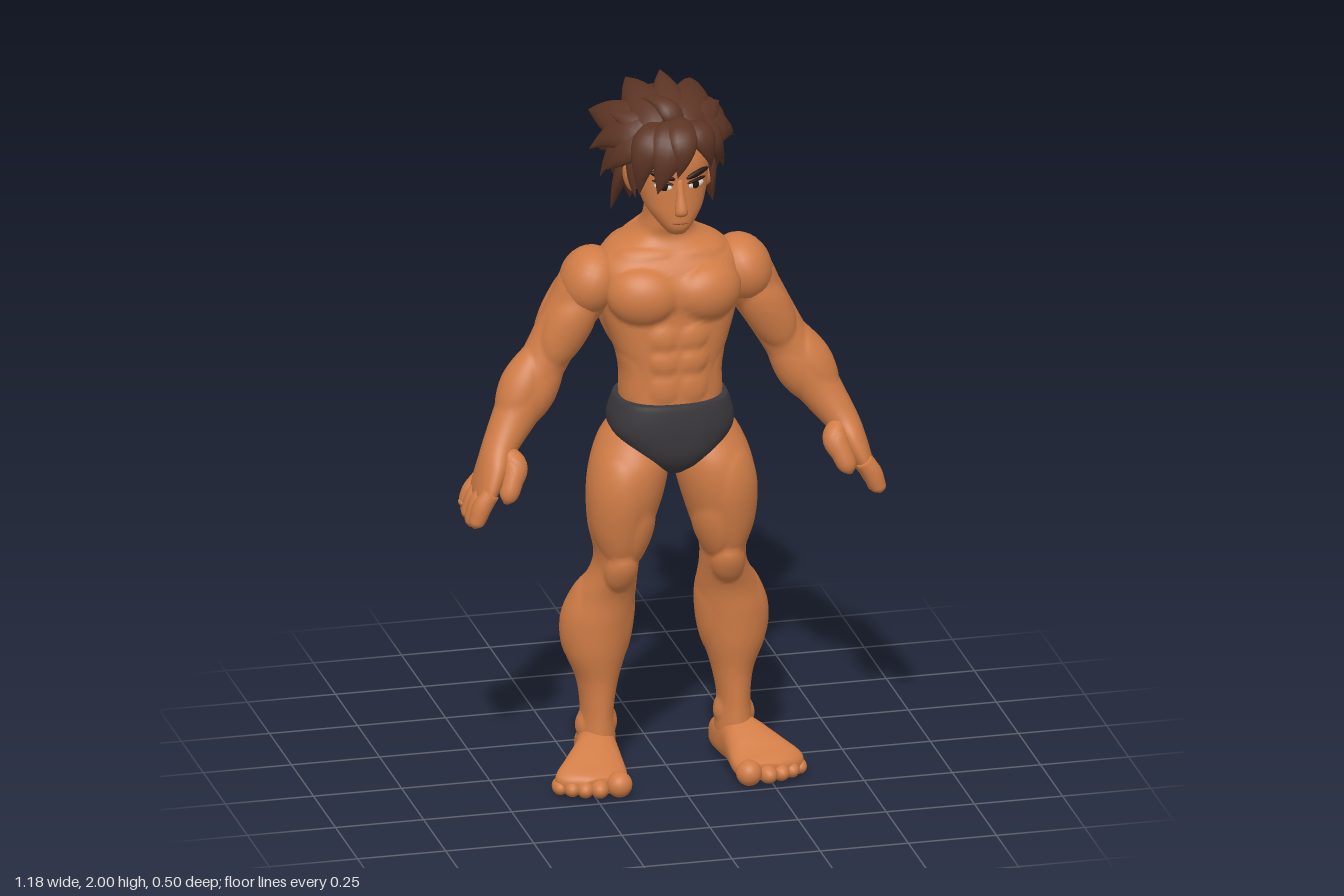
import * as THREE from 'three';

const V = (x, y, z) => new THREE.Vector3(x, y, z);
const UP = V(0, 1, 0), DOWN = V(0, -1, 0), FRONT = V(0, 0, 1);
const paint = (name, color) => { const m = new THREE.MeshStandardMaterial({ color }); m.name = name; return m; };

// Smooth skin over stations [x, y, z, radiusU, radiusV]; rings face dir, or the path when dir is null
function loft(stations, { dir = null, ref = FRONT, power = 2, segs = 28, steps = 5 } = {}) {
  const path = new THREE.CatmullRomCurve3(stations.map(s => V(s[0], s[1], s[2])), false, 'catmullrom', 0.5);
  const size = new THREE.CatmullRomCurve3(stations.map(s => V(s[3], s[4], 0)), false, 'catmullrom', 0.5);
  const rings = (stations.length - 1) * steps, pos = [], index = [];
  const bend = c => Math.sign(c) * Math.abs(c) ** (2 / power);
  for (let i = 0; i <= rings; i++) {
    const t = i / rings, p = path.getPoint(t), r = size.getPoint(t);
    const T = dir || path.getTangent(t);
    const u = V().crossVectors(T, ref).normalize(), v = V().crossVectors(u, T).normalize();
    for (let j = 0; j < segs; j++) {
      const a = j / segs * Math.PI * 2;
      const q = p.clone().addScaledVector(u, r.x * bend(Math.cos(a))).addScaledVector(v, r.y * bend(Math.sin(a)));
      pos.push(q.x, q.y, q.z);
      if (i < rings) {
        const b = i * segs + j, n = i * segs + (j + 1) % segs;
        index.push(b, b + segs, n, n, b + segs, n + segs);
      }
    }
  }
  // End caps
  const c0 = pos.length / 3, a = path.getPoint(0), b = path.getPoint(1);
  pos.push(a.x, a.y, a.z, b.x, b.y, b.z);
  for (let j = 0; j < segs; j++) {
    const n = (j + 1) % segs, o = rings * segs;
    index.push(c0, j, n, c0 + 1, o + n, o + j);
  }
  const g = new THREE.BufferGeometry();
  g.setAttribute('position', new THREE.Float32BufferAttribute(pos, 3));
  g.setIndex(index);
  g.computeVertexNormals();
  return g;
}

// Swell the skin outward at muscles [x, y, z, rx, ry, rz, height], the same on both sides of x = 0
function swell(geo, muscles) {
  const p = geo.attributes.position, n = geo.attributes.normal;
  for (let i = 0; i < p.count; i++) {
    const q = V().fromBufferAttribute(p, i);
    let h = 0;
    for (const [x, y, z, rx, ry, rz, height] of muscles) {
      const d = ((Math.abs(q.x) - x) / rx) ** 2 + ((q.y - y) / ry) ** 2 + ((q.z - z) / rz) ** 2;
      if (d < 1) h = Math.max(h, height * (1 - d) ** 0.7);
    }
    q.addScaledVector(V().fromBufferAttribute(n, i), h);
    p.setXYZ(i, q.x, q.y, q.z);
  }
  geo.computeVertexNormals();
  return geo;
}

// Upright body from rows [y, halfWidth, zFront, zBack], lowest first
const slab = (rows, power, segs = 44, steps = 5) =>
  loft(rows.map(([y, w, f, b]) => [0, y, (f + b) / 2, w, (f - b) / 2]), { dir: UP, power, segs, steps });

const blob = (x, y, z, rx, ry, rz, tiltZ = 0, turnY = 0) =>
  new THREE.SphereGeometry(1, 24, 16).scale(rx, ry, rz).rotateZ(tiltZ).rotateY(turnY).translate(x, y, z);

function mirrored(geo) {
  const g = geo.clone().scale(-1, 1, 1), ix = g.index.array;
  for (let i = 0; i < ix.length; i += 3) [ix[i], ix[i + 1]] = [ix[i + 1], ix[i]];
  return g;
}

// Pointed hair lock: base, bend, tip, width
function lock([bx, by, bz, mx, my, mz, tx, ty, tz, w]) {
  const curve = new THREE.QuadraticBezierCurve3(V(bx, by, bz), V(mx, my, mz), V(tx, ty, tz));
  const widths = [0.55, 0.95, 1, 0.8, 0.45, 0.02];
  const stations = widths.map((k, i) => { const p = curve.getPoint(i / 5); return [p.x, p.y, p.z, w * k, w * k * 0.5]; });
  return loft(stations, { ref: curve.getPoint(0.5).sub(V(0, 1.81, 0.02)).normalize(), segs: 12, steps: 3 });
}

export function createModel() {
  const model = new THREE.Group();
  const skin = paint('skin', 0xd07c46), hair = paint('hair brown', 0x5c3424), cloth = paint('charcoal cloth', 0x3a383c);
  const white = paint('eye white', 0xe8e0d8), dark = paint('dark brown', 0x24140e), lip = paint('lip', 0x9a5030);
  const add = (name, geo, mat) => { const m = new THREE.Mesh(geo, mat); m.name = name; model.add(m); };
  const pair = (name, geo, mat) => { add(name + 'Left', geo, mat); add(name + 'Right', mirrored(geo), mat); };

  // Torso and neck, with chest, belly and back muscles
  add('torso', swell(slab([
    [0.99, 0.13, 0.13, -0.07], [1.06, 0.145, 0.155, -0.08], [1.12, 0.14, 0.158, -0.068], [1.2, 0.137, 0.155, -0.074],
    [1.28, 0.163, 0.152, -0.09], [1.36, 0.188, 0.148, -0.108], [1.44, 0.2, 0.148, -0.124], [1.5, 0.197, 0.125, -0.128],
    [1.545, 0.158, 0.088, -0.118], [1.58, 0.092, 0.07, -0.095], [1.62, 0.066, 0.078, -0.07], [1.7, 0.058, 0.085, -0.05]], 2.4, 96, 8), [
    [0.1, 1.43, 0.12, 0.1, 0.078, 0.1, 0.034], [0.09, 1.538, 0.08, 0.1, 0.016, 0.05, 0.006],
    [0.042, 1.31, 0.15, 0.042, 0.037, 0.06, 0.01], [0.042, 1.24, 0.15, 0.042, 0.036, 0.06, 0.01],
    [0.042, 1.165, 0.15, 0.042, 0.042, 0.06, 0.008], [0.125, 1.18, 0.05, 0.05, 0.08, 0.09, 0.007],
    [0.14, 1.37, -0.07, 0.09, 0.15, 0.1, 0.02], [0.09, 1.47, -0.11, 0.085, 0.09, 0.08, 0.024],
    [0.045, 1.2, -0.08, 0.045, 0.17, 0.06, 0.013], [0.05, 1.56, -0.1, 0.055, 0.09, 0.06, 0.012]]), skin);

  // Briefs
  add('briefs', swell(slab([
    [0.9, 0.03, 0.11, 0.0], [0.93, 0.075, 0.15, -0.04], [0.97, 0.128, 0.17, -0.075], [1.02, 0.168, 0.176, -0.085],
    [1.06, 0.174, 0.177, -0.09], [1.1, 0.164, 0.174, -0.084], [1.12, 0.156, 0.17, -0.08]], 2.6, 72, 6), [
    [0.074, 1.0, -0.075, 0.08, 0.095, 0.09, 0.034]]), cloth);

  // Legs with thigh, knee, calf and ankle shapes
  pair('leg', swell(loft([
    [0.09, 1.06, 0.03, 0.065, 0.08], [0.102, 1.0, 0.03, 0.095, 0.102], [0.116, 0.93, 0.046, 0.109, 0.119],
    [0.13, 0.85, 0.055, 0.108, 0.117], [0.143, 0.75, 0.052, 0.09, 0.105], [0.149, 0.66, 0.042, 0.064, 0.095],
    [0.156, 0.6, 0.026, 0.066, 0.086], [0.173, 0.53, -0.003, 0.085, 0.088], [0.19, 0.45, -0.018, 0.096, 0.096],
    [0.196, 0.36, -0.021, 0.088, 0.092], [0.192, 0.27, -0.018, 0.058, 0.076], [0.194, 0.18, -0.012, 0.045, 0.07],
    [0.195, 0.1, -0.016, 0.052, 0.078], [0.195, 0.04, -0.02, 0.045, 0.07]], { dir: DOWN, segs: 56, steps: 8 }), [
    [0.18, 0.81, 0.13, 0.07, 0.15, 0.1, 0.01], [0.1, 0.73, 0.1, 0.05, 0.085, 0.08, 0.012], [0.13, 0.83, -0.06, 0.08, 0.15, 0.06, 0.006],
    [0.152, 0.617, 0.11, 0.048, 0.06, 0.06, 0.018], [0.255, 0.46, -0.05, 0.07, 0.13, 0.1, 0.008], [0.125, 0.44, -0.05, 0.06, 0.12, 0.1, 0.009],
    [0.24, 0.14, -0.015, 0.03, 0.032, 0.035, 0.01], [0.15, 0.15, -0.01, 0.03, 0.032, 0.035, 0.01]]), skin);

  // Feet and toes
  pair('foot', loft([
    [0.19, 0.05, -0.113, 0.015, 0.02], [0.19, 0.052, -0.095, 0.046, 0.048], [0.195, 0.065, -0.03, 0.055, 0.063],
    [0.21, 0.068, 0.04, 0.062, 0.066], [0.232, 0.056, 0.1, 0.084, 0.054], [0.25, 0.042, 0.15, 0.102, 0.041],
    [0.243, 0.035, 0.185, 0.086, 0.032], [0.225, 0.033, 0.205, 0.05, 0.022]], { dir: FRONT, ref: UP, power: 2.5, segs: 36 }), skin);
  [[0.184, 0.207, 0.036, 0.038], [0.238, 0.2, 0.026, 0.038], [0.276, 0.188, 0.025, 0.038], [0.309, 0.17, 0.024, 0.038], [0.337, 0.146, 0.023, 0.038]]
    .forEach(([x, z, r, length]) => pair('toe', blob(x, r, z, r, r, length, 0, 0.15), skin));

  // Arms and palms
  pair('arm', swell(loft([
    [0.17, 1.5, -0.012, 0.04, 0.06], [0.215, 1.44, -0.012, 0.08, 0.088], [0.262, 1.365, -0.014, 0.073, 0.078],
    [0.305, 1.29, -0.015, 0.068, 0.068], [0.347, 1.215, -0.012, 0.066, 0.064], [0.392, 1.14, -0.002, 0.072, 0.066],
    [0.44, 1.065, 0.018, 0.06, 0.06], [0.485, 0.995, 0.045, 0.047, 0.058], [0.507, 0.945, 0.06, 0.042, 0.074],
    [0.527, 0.9, 0.065, 0.034, 0.084], [0.54, 0.865, 0.065, 0.026, 0.082], [0.546, 0.845, 0.065, 0.01, 0.05]], { segs: 48, steps: 8 }), [
    [0.285, 1.31, 0.06, 0.085, 0.095, 0.07, 0.016], [0.285, 1.34, -0.08, 0.09, 0.11, 0.06, 0.016],
    [0.35, 1.215, -0.075, 0.04, 0.045, 0.04, 0.01], [0.44, 1.185, 0.005, 0.07, 0.1, 0.08, 0.012],
    [0.345, 1.13, -0.005, 0.06, 0.09, 0.08, 0.008]]), skin);
  pair('shoulderMuscle', blob(0.216, 1.447, -0.006, 0.083, 0.098, 0.102, 0.35), skin);

  // Fingers and thumb
  [[0.0, 0.815], [0.043, 0.797], [0.087, 0.79], [0.129, 0.8]].forEach(([z, y]) => pair('finger', loft([
    [0.528, 0.895, z, 0.024, 0.022], [0.552, 0.86, z, 0.027, 0.026], [0.566, 0.825, z, 0.024, 0.025],
    [0.573, y + 0.008, z, 0.019, 0.021], [0.576, y - 0.003, z, 0.004, 0.004]], { segs: 16 }), skin));
  pair('thumb', loft([
    [0.475, 1.0, 0.07, 0.02, 0.02], [0.455, 0.96, 0.1, 0.036, 0.036], [0.468, 0.92, 0.125, 0.03, 0.03],
    [0.482, 0.885, 0.138, 0.025, 0.024], [0.49, 0.865, 0.14, 0.006, 0.006]], { segs: 16 }), skin);

  // Head and face
  add('head', slab([
    [1.617, 0.026, 0.148, 0.08], [1.64, 0.047, 0.163, 0.04], [1.68, 0.076, 0.165, 0.0], [1.72, 0.091, 0.164, -0.03],
    [1.77, 0.1, 0.164, -0.05], [1.83, 0.102, 0.165, -0.06], [1.89, 0.088, 0.14, -0.05], [1.93, 0.045, 0.08, -0.01]], 2.2), skin);
  add('nose', loft([
    [0, 1.785, 0.156, 0.01, 0.008], [0, 1.74, 0.164, 0.012, 0.014], [0, 1.697, 0.175, 0.018, 0.018],
    [0, 1.681, 0.17, 0.016, 0.014], [0, 1.676, 0.162, 0.004, 0.004]], { dir: DOWN, segs: 16 }), skin);
  add('mouth', blob(0, 1.654, 0.163, 0.024, 0.003, 0.004), lip);
  pair('ear', blob(0.112, 1.755, 0.04, 0.016, 0.042, 0.028, -0.2, -0.3), skin);
  pair('eye', blob(0.047, 1.764, 0.154, 0.025, 0.011, 0.005, 0.12, 0.4), white);
  pair('iris', blob(0.045, 1.764, 0.157, 0.013, 0.012, 0.004, 0, 0.4), dark);
  pair('eyelid', blob(0.048, 1.776, 0.155, 0.031, 0.005, 0.006, 0.16, 0.4), dark);
  pair('eyebrow', blob(0.05, 1.796, 0.156, 0.038, 0.009, 0.008, 0.25, 0.4), dark);

  // Hair: cap, then swept locks
  add('hairCap', blob(0, 1.85, -0.005, 0.122, 0.112, 0.14), hair);
  add('napeHair', blob(0, 1.76, -0.05, 0.095, 0.1, 0.07), hair);
  const crown = [
    [0, 1.9, 0.12, 0, 1.99, 0.02, 0.02, 1.99, -0.15, 0.05], [-0.04, 1.9, 0.12, -0.08, 1.98, 0, -0.06, 1.95, -0.22, 0.06],
    [0.04, 1.9, 0.12, 0.08, 1.98, 0, 0.125, 1.93, -0.22, 0.06], [0, 1.9, 0, 0.01, 1.96, -0.15, 0.01, 1.87, -0.25, 0.07],
    [-0.06, 1.88, 0.08, -0.15, 1.94, 0, -0.175, 1.88, -0.18, 0.06], [0.06, 1.88, 0.08, 0.15, 1.94, 0, 0.16, 1.87, -0.15, 0.06],
    [-0.06, 1.88, 0.1, -0.14, 1.93, 0.05, -0.205, 1.815, -0.05, 0.055], [0.06, 1.88, 0.1, 0.14, 1.93, 0.05, 0.208, 1.81, -0.07, 0.055],
    [-0.05, 1.88, 0.1, -0.1, 1.93, 0.06, -0.16, 1.935, 0, 0.04], [0.05, 1.88, 0.1, 0.1, 1.95, 0.06, 0.155, 1.935, -0.02, 0.04],
    [0, 1.92, 0.12, -0.01, 2.0, 0.11, -0.08, 1.985, 0.03, 0.032]];
  const bangs = [
    [0, 1.93, 0.1, -0.04, 1.91, 0.22, -0.07, 1.755, 0.185, 0.055], [-0.03, 1.92, 0.1, -0.12, 1.91, 0.19, -0.11, 1.74, 0.135, 0.05],
    [0.03, 1.92, 0.1, 0.07, 1.93, 0.2, 0.09, 1.81, 0.155, 0.045], [0.05, 1.91, 0.08, 0.13, 1.9, 0.14, 0.125, 1.78, 0.08, 0.045],
    [0, 1.94, 0.1, 0.01, 1.92, 0.24, -0.015, 1.8, 0.195, 0.042], [-0.06, 1.9, 0.08, -0.14, 1.87, 0.12, -0.185, 1.78, 0.03, 0.045]];
  const sides = [
    [0.08, 1.87, 0.02, 0.14, 1.85, -0.02, 0.175, 1.73, -0.05, 0.05], [0.09, 1.82, -0.02, 0.12, 1.74, -0.04, 0.145, 1.63, -0.05, 0.045],
    [0.095, 1.86, 0.06, 0.125, 1.79, 0.075, 0.108, 1.71, 0.085, 0.026], [0.08, 1.85, -0.04, 0.15, 1.84, -0.1, 0.14, 1.77, -0.19, 0.055],
    [0.07, 1.8, -0.05, 0.11, 1.76, -0.12, 0.1, 1.68, -0.165, 0.05]];
  const back = [
    [0, 1.88, -0.08, 0.02, 1.88, -0.18, 0.03, 1.8, -0.235, 0.07], [-0.03, 1.84, -0.08, -0.06, 1.82, -0.17, -0.05, 1.74, -0.205, 0.06],
    [0.03, 1.82, -0.08, 0.05, 1.79, -0.16, 0.04, 1.69, -0.195, 0.06], [0, 1.78, -0.07, 0, 1.72, -0.14, 0, 1.6, -0.13, 0.06],
    [-0.04, 1.78, -0.06, -0.07, 1.72, -0.12, -0.07, 1.63, -0.13, 0.05], [0.04, 1.78, -0.06, 0.07, 1.72, -0.12, 0.07, 1.64, -0.12, 0.05]];
  crown.forEach(r => add('crownLock', lock(r), hair));
  bangs.forEach(r => add('fringeLock', lock(r), hair));
  sides.forEach(r => pair('sideLock', lock(r), hair));
  back.forEach(r => add('backLock', lock(r), hair));
  return model;
}
